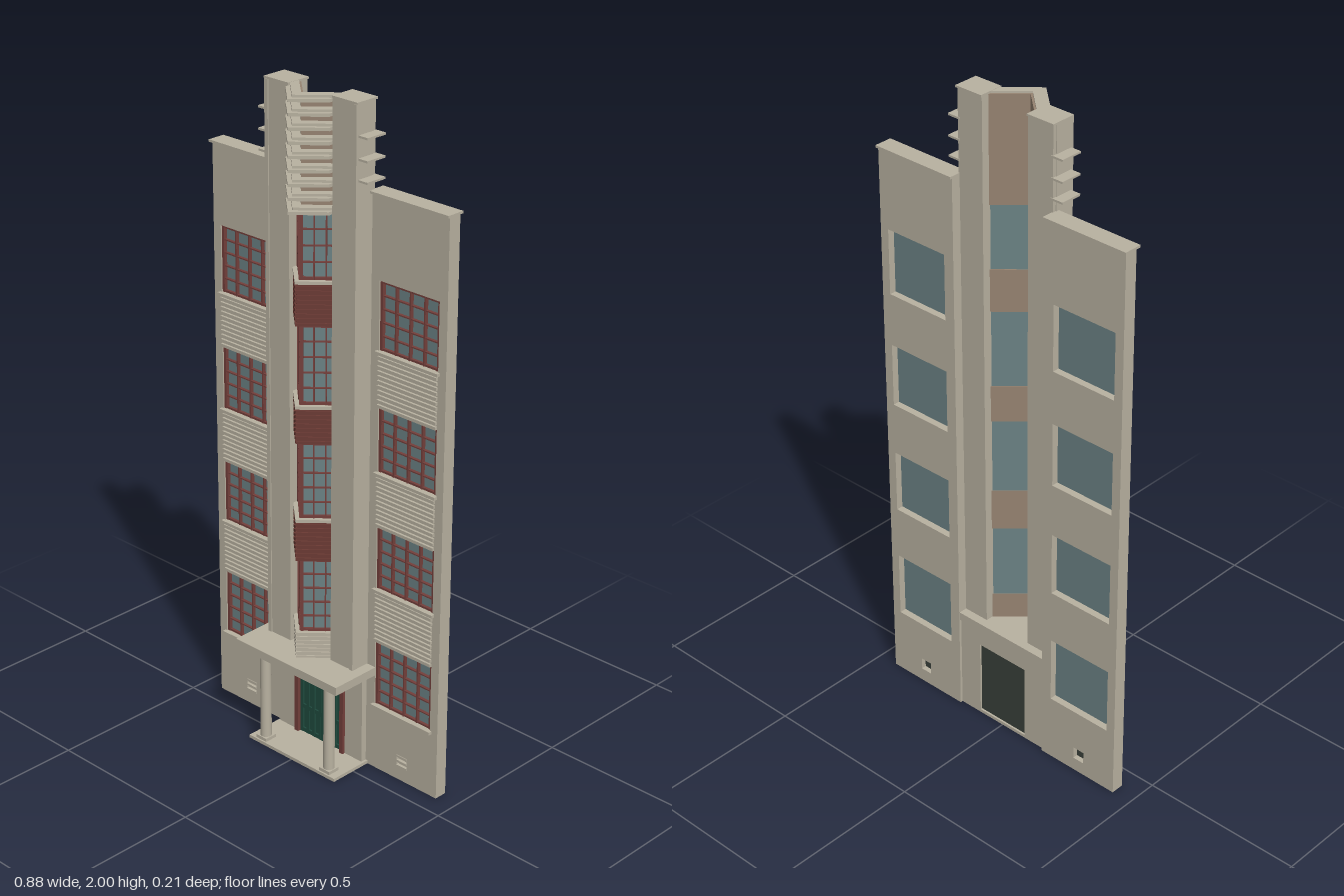
import * as THREE from 'three';

const mat = (name, color) => {
  const m = new THREE.MeshStandardMaterial({ color });
  m.name = name;
  return m;
};

export function createModel() {
  const stone = mat('stone', 0xb8b1a0);
  const red = mat('redBrick', 0x6b3a34);
  const frameRed = mat('frameRed', 0x743f3b);
  const glass = mat('glass', 0x6b8284);
  const green = mat('doorGreen', 0x1f4a3e);
  const dark = mat('darkBacking', 0x39403a);
  const brown = mat('brownLining', 0x968371);

  const root = new THREE.Group();
  root.name = 'towerFacade';

  // Box given by its limits on each axis
  const box = (name, m, x0, x1, y0, y1, z0, z1, parent = root) => {
    const mesh = new THREE.Mesh(new THREE.BoxGeometry(Math.abs(x1 - x0), y1 - y0, z1 - z0), m);
    mesh.position.set((x0 + x1) / 2, (y0 + y1) / 2, (z0 + z1) / 2);
    mesh.name = name;
    parent.add(mesh);
    return mesh;
  };

  const rectPath = (P, x0, x1, y0, y1) => {
    const p = new P();
    p.moveTo(x0, y0); p.lineTo(x1, y0); p.lineTo(x1, y1); p.lineTo(x0, y1); p.closePath();
    return p;
  };

  // Wall panel with rectangular openings
  const wall = (name, outline, holes, z0, z1) => {
    const s = rectPath(THREE.Shape, ...outline);
    holes.forEach(h => s.holes.push(rectPath(THREE.Path, ...h)));
    const mesh = new THREE.Mesh(new THREE.ExtrudeGeometry(s, { depth: z1 - z0, bevelEnabled: false }), stone);
    mesh.position.z = z0;
    mesh.name = name;
    root.add(mesh);
  };

  // V-plan slab between two apex depths
  const SLOPE = 0.91, W = 0.08;
  const chevron = (name, m, y0, y1, inner, outer, parent = root) => {
    const d = SLOPE * W;
    const s = new THREE.Shape();
    s.moveTo(-W, d - outer); s.lineTo(0, -outer); s.lineTo(W, d - outer);
    s.lineTo(W, d - inner); s.lineTo(0, -inner); s.lineTo(-W, d - inner); s.closePath();
    const g = new THREE.ExtrudeGeometry(s, { depth: y1 - y0, bevelEnabled: false });
    g.rotateX(-Math.PI / 2);
    const mesh = new THREE.Mesh(g, m);
    mesh.position.y = y0;
    mesh.name = name;
    parent.add(mesh);
  };

  // Wings with windows, spandrels and vents
  const rows = [[0.21, 0.418], [0.583, 0.78], [0.943, 1.14], [1.303, 1.505]];
  for (const side of [-1, 1]) {
    const span = (a, b) => (side > 0 ? [a, b] : [-b, -a]);
    const [wx0, wx1] = span(0.197, 0.409);
    const [vx0, vx1] = span(0.286, 0.324);
    const holes = rows.map(([a, b]) => [wx0, wx1, a, b]);
    holes.push([vx0, vx1, 0.042, 0.08]);
    wall('wing', [...span(0.163, 0.437), 0, 1.743], holes, -0.1, -0.06);
    box('wingCoping', stone, ...span(0.163, 0.441), 1.743, 1.75, -0.106, -0.05);

    rows.forEach(([a, b], i) => {
      const win = new THREE.Group();
      win.name = 'wingWindow';
      root.add(win);
      box('glass', glass, wx0, wx1, a, b, -0.079, -0.075, win);
      for (let c = 0; c <= 4; c++) {
        const t = c % 4 ? 0.0022 : 0.0045;
        const x = wx0 + 0.004 + (wx1 - wx0 - 0.008) * c / 4;
        box('mullion', frameRed, x - t, x + t, a, b, -0.075, -0.064, win);
      }
      for (let r = 0; r <= 5; r++) {
        const t = r % 5 ? 0.0018 : 0.004;
        const y = a + 0.004 + (b - a - 0.008) * r / 5;
        box('glazingBar', frameRed, wx0, wx1, y - t, y + t, -0.075, -0.066, win);
      }
      box('sill', stone, wx0 - 0.006, wx1 + 0.006, a - 0.007, a + 0.002, -0.066, -0.049, win);
      // Ribbed brick courses between windows
      if (i < 3) {
        const y0 = b, h = rows[i + 1][0] - 0.007 - b, n = 11;
        for (let k = 0; k < n; k++)
          box('spandrelCourse', stone, wx0, wx1, y0 + h * k / n, y0 + h * (k + 0.65) / n, -0.061, -0.053);
      }
    });

    // Vent
    box('ventBack', dark, vx0, vx1, 0.042, 0.08, -0.084, -0.08);
    box('ventPlate', stone, vx0, vx1, 0.042, 0.08, -0.078, -0.067);
    for (const y of [0.042, 0.058, 0.074])
      box('ventSlat', stone, vx0, vx1, y, y + 0.006, -0.067, -0.058);

    // Pylon with cap, edge strip and side fins
    box('pylon', stone, ...span(0.08, 0.166), 0.33, 1.994, -0.071, 0);
    box('pylonCap', stone, ...span(0.079, 0.17), 1.994, 2, -0.075, 0.002);
    box('pylonEdge', stone, ...span(0.155, 0.168), 0.33, 1.994, -0.06, 0.003);
    for (const y of [1.788, 1.846, 1.908])
      box('sideFin', stone, ...span(0.16, 0.2), y - 0.003, y + 0.003, -0.073, -0.005);

    // Porch column
    const col = new THREE.Mesh(new THREE.CylinderGeometry(0.016, 0.017, 0.29, 20), stone);
    col.position.set(side * 0.128, 0.155, 0.055);
    col.name = 'porchColumn';
    root.add(col);
    for (const y of [0.01, 0.296])
      box('columnBlock', stone, side * 0.128 - 0.02, side * 0.128 + 0.02, y, y + 0.01, 0.035, 0.075);
  }

  // V-shaped bay windows
  const bayWindows = [[0.413, 0.643], [0.772, 1.004], [1.117, 1.353], [1.482, 1.676]];
  const angle = Math.atan(SLOPE);
  bayWindows.forEach(([a, b], i) => {
    const bay = new THREE.Group();
    bay.name = 'bayWindow';
    root.add(bay);
    chevron('glass', glass, a, b, 0.03, 0.034, bay);
    const n = i === 3 ? 4 : 5;
    for (let r = 0; r <= n; r++) {
      const t = r % n ? 0.0018 : 0.004;
      const y = a + 0.004 + (b - a - 0.008) * r / n;
      chevron('glazingBar', frameRed, y - t, y + t, 0.034, 0.043, bay);
    }
    for (const s of [-1, 1]) for (let c = 0; c <= 3; c++) {
      const x = 0.003 + 0.073 * c / 3;
      const post = new THREE.Mesh(new THREE.BoxGeometry(c % 3 ? 0.004 : 0.008, b - a, 0.008), frameRed);
      post.position.set(s * x, (a + b) / 2, 0.039 - SLOPE * x);
      post.rotation.y = s * angle;
      post.name = 'mullion';
      bay.add(post);
    }
  });

  // Bay spandrels: ribbed brick in front, lining behind, sill on top
  const spandrel = (m, y0, y1) => {
    chevron('spandrelLining', brown, y0, y1, 0.026, 0.035);
    chevron('spandrelBody', m, y0, y1 - 0.009, 0.035, 0.054);
    chevron('baySill', stone, y1 - 0.009, y1, 0.035, 0.06);
    const n = Math.round((y1 - y0 - 0.009) / 0.013), h = (y1 - y0 - 0.009) / n;
    for (let k = 0; k < n; k++)
      chevron('brickCourse', m, y0 + h * k, y0 + h * (k + 0.65), 0.053, 0.059);
  };
  spandrel(stone, 0.33, 0.413);
  for (let i = 0; i < 3; i++) spandrel(red, bayWindows[i][1], bayWindows[i + 1][0]);

  // Crown louvres
  chevron('crownLining', brown, 1.676, 1.994, 0.026, 0.035);
  for (let k = 0; k < 9; k++) {
    const y = 1.676 + k * 0.0384;
    chevron('louvre', stone, y, y + 0.009, 0.034, 0.085);
    chevron('louvreSoffit', stone, y + 0.009, y + 0.016, 0.034, 0.068);
  }

  // Entrance: wall, canopy, floor slab
  wall('entranceWall', [-0.165, 0.165, 0, 0.305], [[-0.088, 0.088, 0.008, 0.25]], -0.092, -0.042);
  box('canopy', stone, -0.2, 0.2, 0.306, 0.332, -0.058, 0.103);
  box('canopyRear', stone, -0.163, 0.163, 0.306, 0.332, -0.098, -0.058);
  box('porchFloor', stone, -0.172, 0.172, 0, 0.01, -0.092, 0.08);

  // Doors with surround
  box('doorBacking', dark, -0.088, 0.088, 0.008, 0.25, -0.086, -0.08);
  box('doorTransom', frameRed, -0.098, 0.098, 0.25, 0.288, -0.043, -0.033);
  box('transomPanel', green, -0.035, 0.035, 0.26, 0.28, -0.033, -0.03);
  for (const s of [-1, 1]) {
    box('doorJamb', frameRed, s * 0.084, s * 0.098, 0.01, 0.25, -0.05, -0.033);
    box('doorLeaf', green, s * 0.001, s * 0.084, 0.01, 0.25, -0.06, -0.05);
    for (const x of [0.006, 0.031, 0.055, 0.079])
      box('doorStile', green, s * (x - 0.005), s * (x + 0.005), 0.01, 0.25, -0.05, -0.044);
    for (const y of [0.01, 0.09, 0.235])
      box('doorRail', green, s * 0.001, s * 0.084, y, y + 0.013, -0.05, -0.045);
  }
  return root;
}
